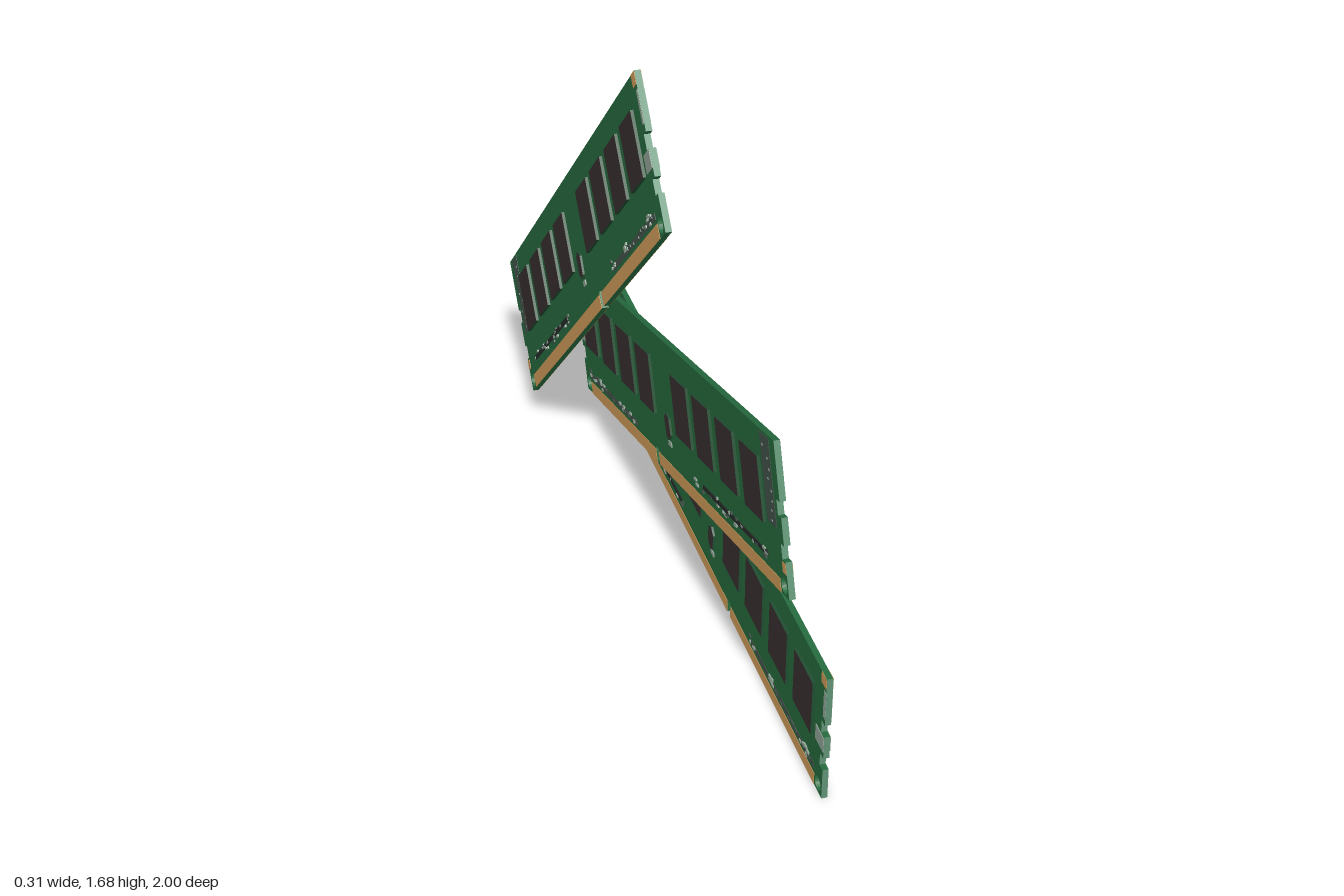
import * as THREE from 'three';

const mat = (name, color) => {
  const m = new THREE.MeshStandardMaterial({ color });
  m.name = name;
  return m;
};
const M = {
  board: mat('board green', 0x266b3e),
  edge: mat('edge pale green', 0x5f9274),
  chip: mat('chip charcoal', 0x382f30),
  chipSide: mat('chip side dark green', 0x1f4d30),
  gold: mat('contact gold', 0xd09c5a),
  light: mat('solder grey', 0x93a598),
  dark: mat('component dark grey', 0x42544a),
  black: mat('resistor black', 0x262b29),
};
const HX = 0.88, HT = 0.008, H = 0.395; // half length, half thickness, height
const NOTCHES = [0.115, 0.225], NH = 0.02, ND = 0.022; // latch notch heights, half width, depth
const CHIP = [M.chipSide, M.chipSide, M.chipSide, M.chipSide, M.chip, M.chip];

// Box given by its extents on one face of the board (s = +1 front, -1 rear)
function part(group, name, material, x0, x1, y0, y1, depth, s) {
  const m = new THREE.Mesh(new THREE.BoxGeometry(x1 - x0, y1 - y0, depth), material);
  m.position.set((x0 + x1) / 2, (y0 + y1) / 2, s * (HT + depth / 2));
  m.name = name;
  group.add(m);
}

// Board outline with key slot, latch notches and corner holes
function boardGeometry() {
  const p = [[-HX, 0], [0.147, 0], [0.147, 0.045], [0.17, 0.045], [0.17, 0], [HX, 0]];
  for (const y of NOTCHES) p.push([HX, y - NH], [HX - ND, y - NH], [HX - ND, y + NH], [HX, y + NH]);
  p.push([HX, H], [-HX, H]);
  for (const y of [...NOTCHES].reverse())
    p.push([-HX, y + NH], [-HX + ND, y + NH], [-HX + ND, y - NH], [-HX, y - NH]);
  const shape = new THREE.Shape(p.map(([x, y]) => new THREE.Vector2(x, y)));
  for (const x of [-HX + 0.027, HX - 0.027]) {
    const hole = new THREE.Path();
    hole.absarc(x, 0.027, 0.021, 0, Math.PI * 2, true);
    shape.holes.push(hole);
  }
  const g = new THREE.ExtrudeGeometry(shape, { depth: 2 * HT, bevelEnabled: false, curveSegments: 10 });
  return g.translate(0, 0, -HT);
}

// Small faceted controller between the two chip banks
function controllerGeometry() {
  const pts = [[-0.022, -0.02], [0, -0.038], [0.018, -0.03], [0.022, 0.02], [0.004, 0.038], [-0.018, 0.028]];
  const shape = new THREE.Shape(pts.map(([x, y]) => new THREE.Vector2(x, y)));
  return new THREE.ExtrudeGeometry(shape, { depth: 0.006, bevelEnabled: false });
}

// Pale cut edges at both ends, in the runs between the notches
function addCutEdges(group) {
  const runs = [[0, NOTCHES[0] - NH], [NOTCHES[0] + NH, NOTCHES[1] - NH], [NOTCHES[1] + NH, H]];
  for (const side of [1, -1]) {
    for (const [y0, y1] of runs) {
      const m = new THREE.Mesh(new THREE.BoxGeometry(0.001, y1 - y0, 2 * HT), M.edge);
      m.position.set(side * (HX + 0.0005), (y0 + y1) / 2, 0);
      m.name = 'cutEdge';
      group.add(m);
    }
    for (const y of NOTCHES) {
      const m = new THREE.Mesh(new THREE.BoxGeometry(0.001, 2 * NH, 2 * HT), M.edge);
      m.position.set(side * (HX - ND + 0.0005), y, 0);
      m.name = 'notchEdge';
      group.add(m);
    }
  }
}

function memoryModule(name) {
  const g = new THREE.Group();
  g.name = name;
  const board = new THREE.Mesh(boardGeometry(), M.board);
  board.name = 'circuitBoard';
  g.add(board);
  addCutEdges(g);

  let seed = 7;
  const rnd = () => (seed = (seed * 16807) % 2147483647) / 2147483647;
  const chipX = [0.742, 0.556, 0.37, 0.187, -0.14, -0.323, -0.51, -0.697];

  for (const s of [1, -1]) {
    // Memory chips with dark green sides
    for (const x of chipX) part(g, 'memoryChip', CHIP, x - 0.066, x + 0.066, 0.155, 0.322, 0.008, s);

    // Controller and its capacitor
    const c = new THREE.Mesh(controllerGeometry(), [M.chip, M.chipSide]);
    c.name = 'controllerChip';
    c.position.set(0.01, 0.152, s > 0 ? HT : -HT - 0.006);
    g.add(c);
    part(g, 'capacitor', M.light, 0.003, 0.028, 0.094, 0.108, 0.003, s);

    // Edge contacts either side of the key slot
    part(g, 'edgeContacts', M.gold, 0.172, 0.828, 0, 0.037, 0.0012, s);
    part(g, 'edgeContacts', M.gold, -0.828, 0.145, 0, 0.037, 0.0012, s);

    // Gold pads and grey marks by the ends
    part(g, 'cornerPad', M.gold, 0.846, HX, 0.362, H, 0.001, s);
    part(g, 'endPad', M.gold, -HX, -0.855, 0.062, 0.09, 0.001, s);
    part(g, 'endMark', M.light, 0.866, HX, 0.265, 0.35, 0.001, s);
    part(g, 'endLabel', M.light, 0.825, HX, 0.157, 0.203, 0.002, s);
    part(g, 'endCircuit', M.dark, -0.842, -0.778, 0.165, 0.388, 0.001, s);

    // Long resistor array and the circuit band at the other end
    part(g, 'resistorArray', M.black, -0.755, -0.26, 0.066, 0.078, 0.003, s);
    part(g, 'circuitBand', M.dark, 0.34, 0.82, 0.048, 0.066, 0.001, s);

    // Tiny surface components
    for (let i = 0; i < 40; i++) {
      const left = i % 2 === 0;
      const x = left ? 0.33 + rnd() * 0.48 : -0.76 + rnd() * 0.56;
      const y = (left ? 0.046 : 0.052) + rnd() * 0.026;
      part(g, 'surfaceComponent', i % 3 ? M.light : M.dark, x, x + 0.008 + rnd() * 0.012, y, y + 0.007, 0.004, s);
    }
    for (let i = 0; i < 8; i++) {
      const y = 0.175 + i * 0.026, x = -0.835 + rnd() * 0.04;
      part(g, 'endComponent', M.light, x, x + 0.008, y, y + 0.005, 0.002, s);
    }
  }
  return g;
}

// Place a module by its bottom-edge centre, long direction and up direction
function place(module, centre, along, up) {
  const e = new THREE.Vector3(...along).normalize();
  const u = new THREE.Vector3(...up);
  u.addScaledVector(e, -u.dot(e)).normalize();
  const basis = new THREE.Matrix4().makeBasis(e, u, e.clone().cross(u));
  module.quaternion.setFromRotationMatrix(basis);
  module.position.set(...centre);
  return module;
}

export function createModel() {
  const root = new THREE.Group();
  root.name = 'memoryModules';
  root.add(
    place(memoryModule('lowerModule'), [0.139, 0, 0.107], [0, 0, 1], [0, 1, 0]),
    // Middle module is turned end for end
    place(memoryModule('middleModule'), [0.02, 0.408, 0.166], [-0.017, -0.552, -1.662], [-0.006, 0.37, -0.123]),
    place(memoryModule('upperModule'), [-0.131, 0.77, -0.107], [0.03, 1.281, 1.201], [0.012, 0.268, -0.279]),
  );
  return root;
}
